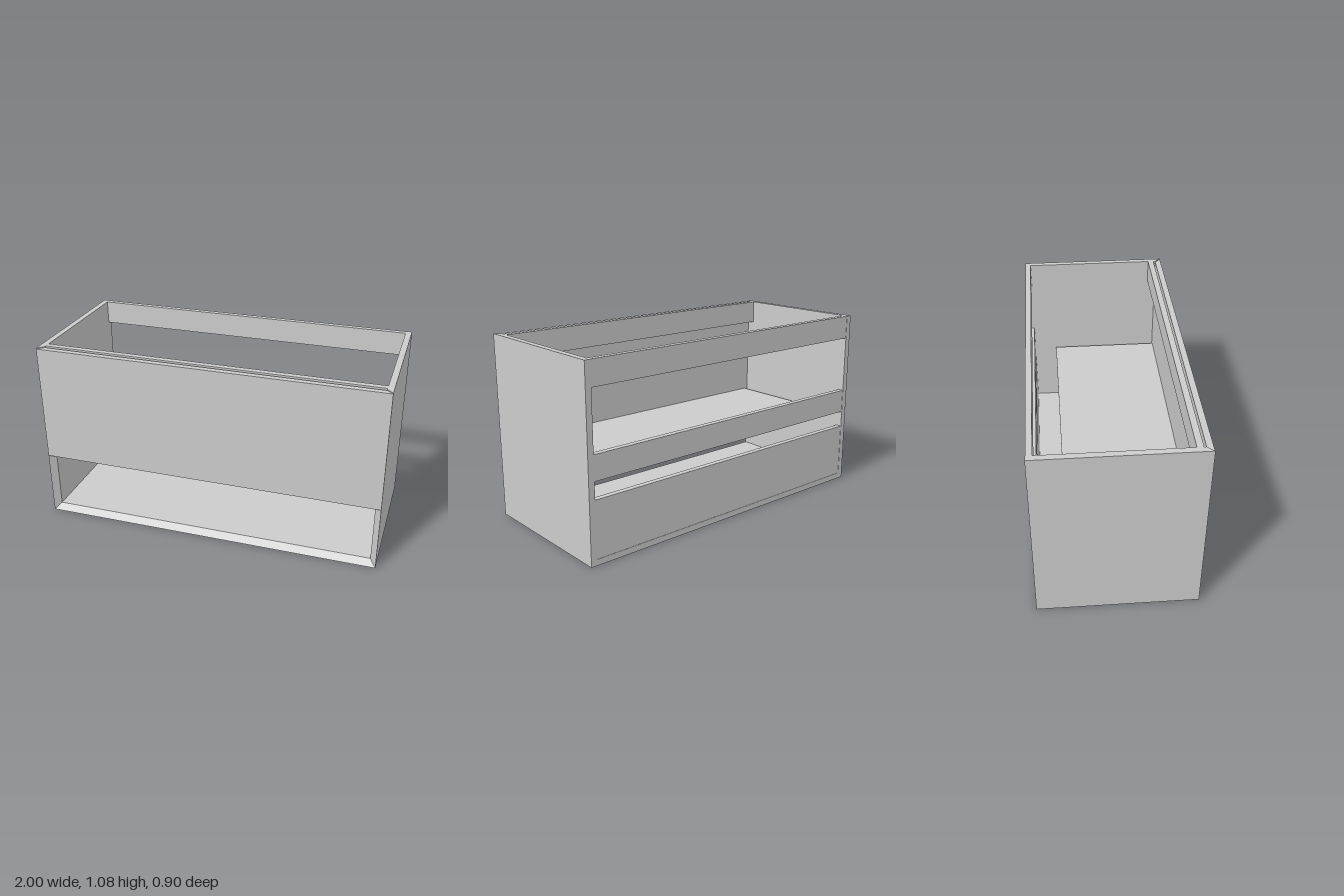
import * as THREE from 'three';

const W = 1, D = 0.45, H = 1.08, T = 0.035; // half width, half depth, height, board thickness
const IN = W - T;                           // inner face of the sides

export function createModel() {
  const model = new THREE.Group();
  const material = new THREE.MeshStandardMaterial({ color: 0xcccccc });

  const add = (name, geometry) => {
    const mesh = new THREE.Mesh(geometry, material);
    mesh.name = name;
    model.add(mesh);
  };

  // Box given by its limits on each axis
  const board = (name, x0, x1, y0, y1, z0, z1) =>
    add(name, new THREE.BoxGeometry(x1 - x0, y1 - y0, z1 - z0)
      .translate((x0 + x1) / 2, (y0 + y1) / 2, (z0 + z1) / 2));

  const extrude = (points, depth) => new THREE.ExtrudeGeometry(
    new THREE.Shape(points.map(([a, b]) => new THREE.Vector2(a, b))),
    { depth, bevelEnabled: false });

  // Upright board from an [x, z] plan
  const upright = (name, plan, y0, y1) =>
    add(name, extrude(plan.map(([x, z]) => [x, -z]), y1 - y0)
      .rotateX(-Math.PI / 2).translate(0, y0, 0));

  // Side panels, mitred along the front edge
  for (const s of [1, -1]) {
    upright(s > 0 ? 'leftSide' : 'rightSide',
      [[s * W, -D], [s * W, D], [s * IN, D - T], [s * IN, -D]], 0, H);
  }

  // Bottom panel with the same mitre in front
  add('bottomPanel', extrude([[D, 0], [-D, 0], [T - D, T], [D, T]], 2 * W)
    .rotateY(Math.PI / 2).translate(-W, 0, 0));

  // Drawer front, its ends mitred to meet the sides
  upright('drawerFront',
    [[-W, D], [W, D], [IN, D - T], [-IN, D - T]], 0.385, H - 0.005);

  // Drawer bottom, clear of the sides and back
  board('drawerBottom', -0.94, 0.94, 0.415, 0.45, -0.27, D - T);

  // Top rail behind the drawer front
  board('frontRail', -IN, IN, 0.94, H, 0.367, 0.402);

  // Back boards, set in very slightly from the side edges
  const back = [['backTopRail', 0.94, H], ['backMiddleRail', 0.458, 0.6], ['backPanel', T, 0.36]];
  for (const [name, y0, y1] of back) board(name, -IN, IN, y0, y1, -D + 0.002, -D + T);

  return model;
}
